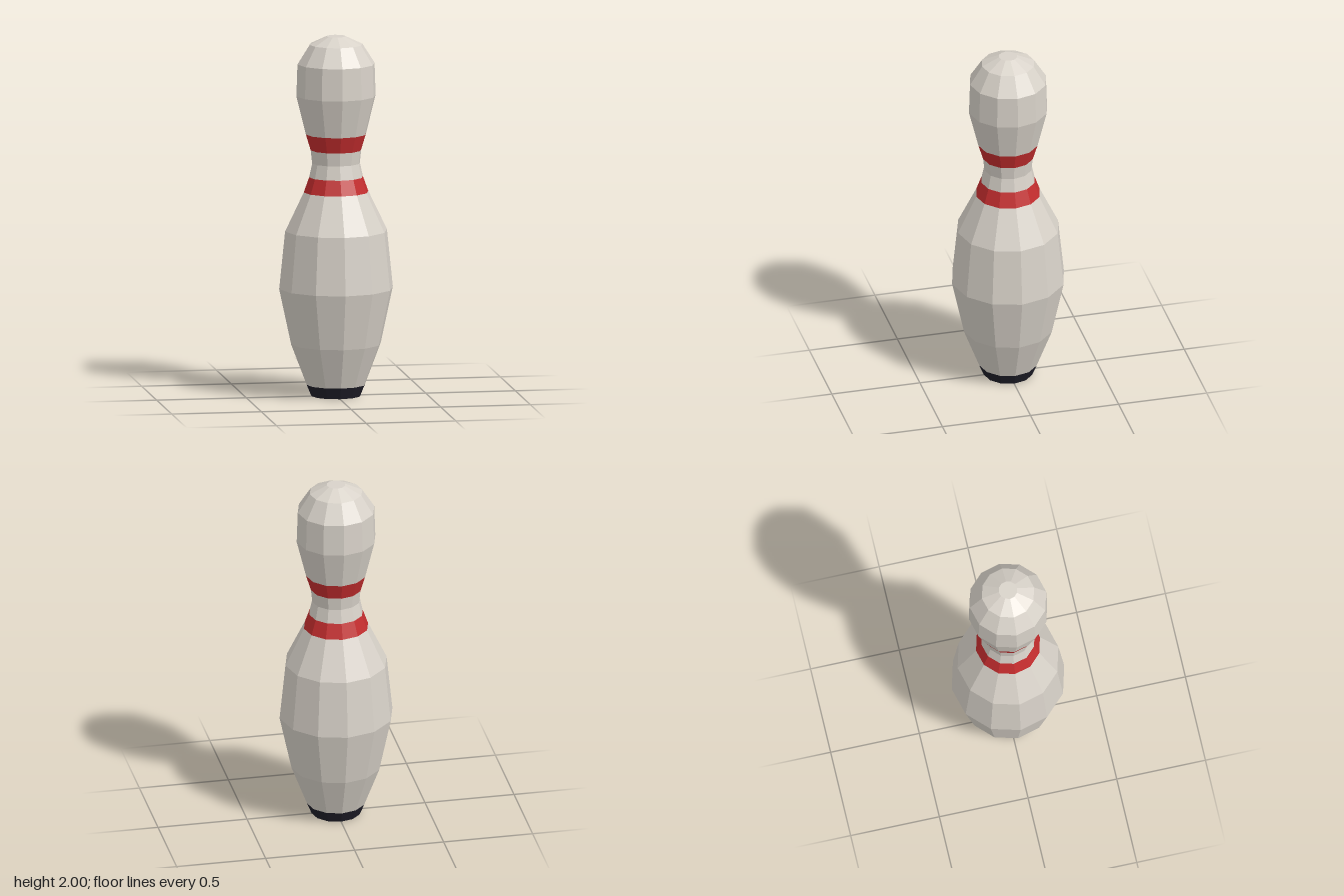
import * as THREE from 'three';

const SIDES = 12;

function material(name, color) {
  const m = new THREE.MeshStandardMaterial({ color, flatShading: true });
  m.name = name;
  return m;
}

export function createModel() {
  const ivory = material('ivory', 0xd8d2c9);
  const red = material('red', 0xc42d2e);
  const black = material('black', 0x1f1e29);

  // Each section is a turned slice of the pin: [radius, height] from bottom to top
  const sections = [
    ['base', black, [[0, 0], [0.137, 0], [0.163, 0.063]]],
    ['belly', ivory, [[0.163, 0.063], [0.25, 0.29], [0.317, 0.6], [0.284, 0.92], [0.18, 1.135]]],
    ['lowerStripe', red, [[0.18, 1.135], [0.15, 1.218]]],
    ['neck', ivory, [[0.15, 1.218], [0.133, 1.295], [0.141, 1.368]]],
    ['upperStripe', red, [[0.141, 1.368], [0.168, 1.457]]],
    ['head', ivory, [[0.168, 1.457], [0.221, 1.67], [0.215, 1.848], [0.147, 1.955], [0.052, 2], [0, 2]]],
  ];

  const pin = new THREE.Group();
  pin.name = 'bowlingPin';
  for (const [name, mat, profile] of sections) {
    const points = profile.map(([r, y]) => new THREE.Vector2(r, y));
    const mesh = new THREE.Mesh(new THREE.LatheGeometry(points, SIDES), mat);
    mesh.name = name;
    pin.add(mesh);
  }
  return pin;
}
